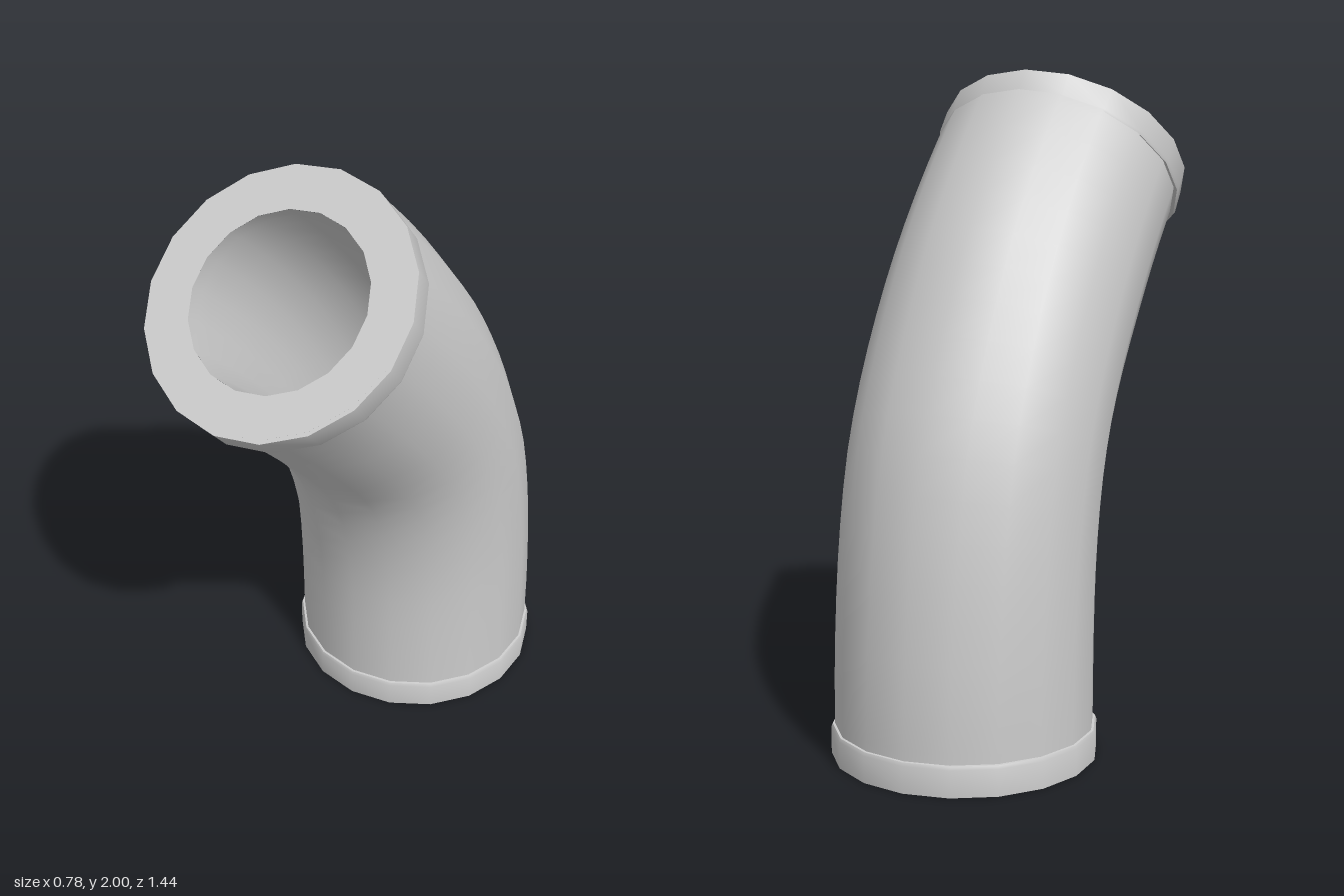
import * as THREE from 'three';
import { toCreasedNormals } from 'three/addons/utils/BufferGeometryUtils.js';

const SIDES = 18, RINGS = 20;
const PIPE_R = 0.385, BORE_R = 0.264, COLLAR_R = 0.396;
const BEND = THREE.MathUtils.degToRad(40);

// Side profile of the bend: [z, y] along the inside and outside of the curve
const spline = (points) => new THREE.CatmullRomCurve3(points.map(([z, y]) => new THREE.Vector3(0, y, z)));
const insideCurve = spline([
  [0.067, 0], [0.067, 0.22], [0.07, 0.44], [0.085, 0.6], [0.12, 0.76], [0.174, 0.895],
  [0.26, 1.02], [0.385, 1.165], [0.5, 1.295], [0.63, 1.425], [0.715, 1.503],
]);
const outsideCurve = spline([
  [-0.703, 0], [-0.7, 0.24], [-0.678, 0.49], [-0.645, 0.71], [-0.59, 0.94], [-0.505, 1.15],
  [-0.395, 1.36], [-0.28, 1.545], [-0.13, 1.735], [0.045, 1.925], [0.125, 1.997],
]);

// Loft of rings spanning the two curves; a bore faces inward
function bentTube(radius, inward) {
  const positions = [], index = [];
  for (let i = 0; i <= RINGS; i++) {
    const a = insideCurve.getPoint(i / RINGS), b = outsideCurve.getPoint(i / RINGS);
    const centre = a.clone().add(b).multiplyScalar(0.5);
    const half = a.sub(b).multiplyScalar(0.5 * radius / PIPE_R);
    for (let j = 0; j < SIDES; j++) {
      const phi = (j / SIDES) * Math.PI * 2;
      const p = centre.clone().addScaledVector(half, Math.cos(phi));
      positions.push(radius * Math.sin(phi), p.y, p.z);
      if (i === RINGS) continue;
      const k = (j + 1) % SIDES, lo = i * SIDES, hi = lo + SIDES;
      if (inward) index.push(lo + j, hi + k, lo + k, lo + j, hi + j, hi + k);
      else index.push(lo + j, lo + k, hi + k, lo + j, hi + k, hi + j);
    }
  }
  const geometry = new THREE.BufferGeometry();
  geometry.setAttribute('position', new THREE.Float32BufferAttribute(positions, 3));
  geometry.setIndex(index);
  geometry.computeVertexNormals();
  return geometry;
}

// End ring: flat annular face at y = 0, wall and small bevel back to the pipe
function collarGeometry() {
  const profile = [
    [BORE_R, 0], [COLLAR_R, 0], [COLLAR_R, 0.08], [COLLAR_R - 0.004, 0.09], [PIPE_R - 0.01, 0.092],
  ].map(([r, y]) => new THREE.Vector2(r, y));
  return toCreasedNormals(new THREE.LatheGeometry(profile, SIDES), 0.6);
}

export function createModel() {
  const model = new THREE.Group();
  model.name = 'bentPipe';
  const material = new THREE.MeshStandardMaterial({ color: 0xcccccc });
  const add = (name, geometry) => {
    const mesh = new THREE.Mesh(geometry, material);
    mesh.name = name;
    model.add(mesh);
    return mesh;
  };

  add('pipeWall', bentTube(PIPE_R, false));
  add('pipeBore', bentTube(BORE_R, true));

  const collar = collarGeometry();
  add('bottomCollar', collar).position.set(0, 0, -0.318);

  // Upper collar faces up and forward, its body running back along the pipe
  const top = add('topCollar', collar);
  top.position.set(0, 1.75, 0.42);
  top.rotation.x = BEND - Math.PI;

  return model;
}
